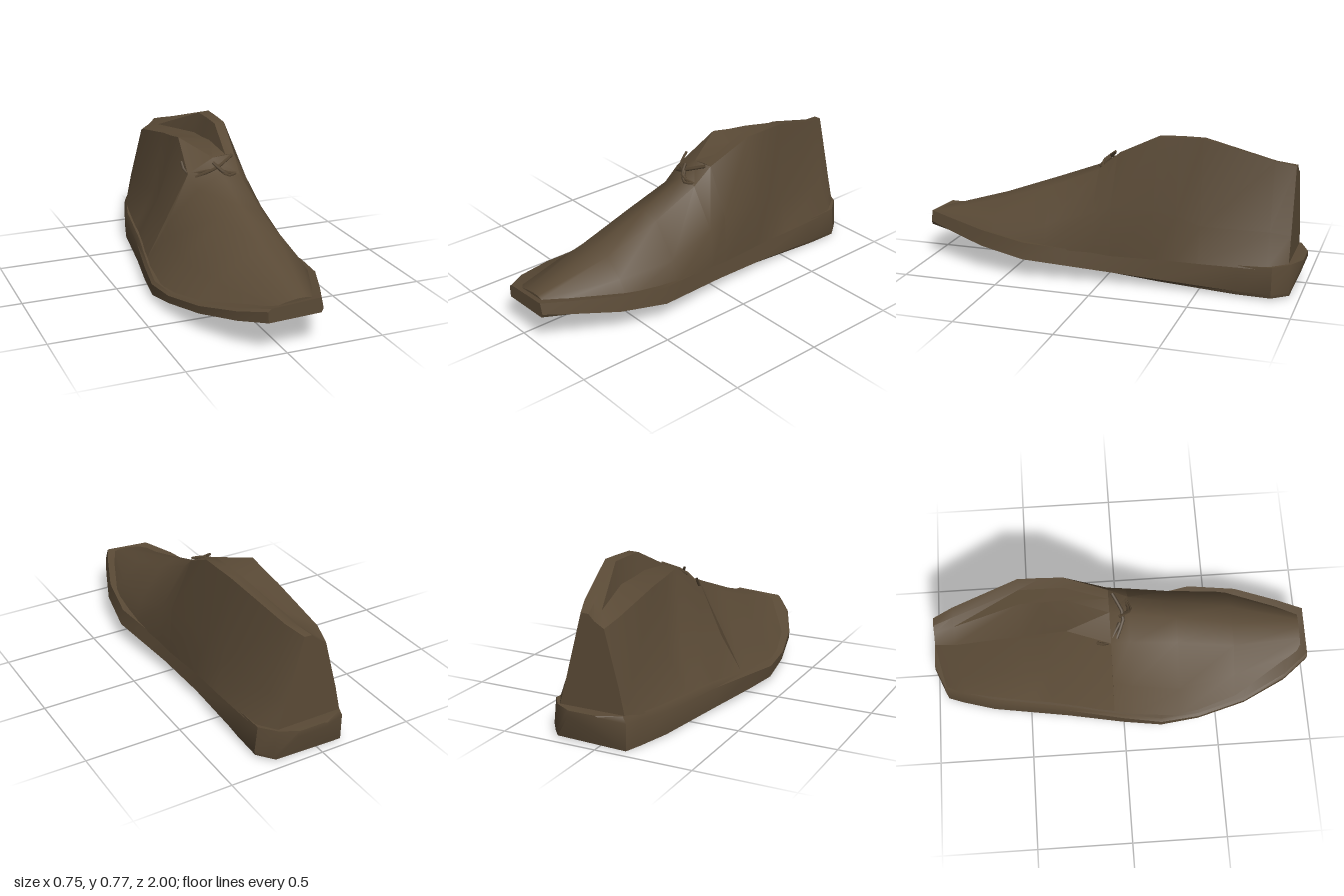
import * as THREE from 'three';
import { toCreasedNormals } from 'three/addons/utils/BufferGeometryUtils.js';

// Skin through closed rings, listed front to back; each ring runs left to right over the top.
function loft(rings, crease) {
  const n = rings[0].length, last = rings.length - 1;
  const index = [];
  for (let i = 0; i < last; i++) {
    for (let j = 0; j < n; j++) {
      const k = (j + 1) % n;
      const a = i * n + j, b = i * n + k, c = a + n, d = b + n;
      index.push(a, b, c, b, d, c);
    }
  }
  for (let j = 1; j < n - 1; j++) {
    index.push(0, j + 1, j);
    index.push(last * n, last * n + j, last * n + j + 1);
  }
  const geometry = new THREE.BufferGeometry();
  geometry.setAttribute('position', new THREE.Float32BufferAttribute(rings.flat(2), 3));
  geometry.setIndex(index);
  return toCreasedNormals(geometry, crease);
}

export function createModel() {
  const boot = new THREE.Group();
  boot.name = 'boot';
  const leather = new THREE.MeshStandardMaterial({ color: 0x5a4a36, side: THREE.DoubleSide });
  leather.name = 'brown leather';
  const add = (name, geometry) => {
    const mesh = new THREE.Mesh(geometry, leather);
    mesh.name = name;
    boot.add(mesh);
  };

  // Sole: z, left x, right x, underside right x, bottom left y, bottom right y, top left y, top right y
  const sole = [
    [1, -0.1, 0.18, 0.17, 0.165, 0.175, 0.235, 0.25],
    [0.87, -0.2, 0.24, 0.2, 0.14, 0.155, 0.2, 0.24],
    [0.65, -0.3, 0.33, 0.23, 0.1, 0.12, 0.15, 0.22],
    [0.4, -0.36, 0.375, 0.25, 0.06, 0.085, 0.11, 0.19],
    [0.2, -0.375, 0.345, 0.25, 0.025, 0.065, 0.1, 0.17],
    [0, -0.345, 0.315, 0.26, 0.02, 0.045, 0.12, 0.16],
    [-0.3, -0.285, 0.295, 0.27, 0.01, 0.025, 0.14, 0.16],
    [-0.7, -0.22, 0.3, 0.29, 0.005, 0.01, 0.15, 0.16],
    [-0.87, -0.17, 0.3, 0.295, 0.002, 0.01, 0.16, 0.165],
    [-0.95, -0.14, 0.24, 0.23, 0, 0.01, 0.17, 0.17],
    [-1, -0.02, 0.15, 0.14, 0.14, 0.14, 0.17, 0.17],
  ];
  add('sole', loft(sole.map(([z, l, r, under, bl, br, tl, tr]) => [
    [l, bl + (tl - bl) * 0.8, z], [l + 0.015, tl, z], [r - 0.015, tr, z],
    [r, br + 0.02, z], [under, br, z], [l + 0.003, bl, z],
  ]), 0.6));

  // Vamp: rises from the toe to the laces
  const at = (z, ...points) => points.map(([x, y]) => [x, y, z]);
  add('vamp', loft([
    at(0.97, [-0.09, 0.2], [-0.06, 0.225], [0, 0.24], [0.06, 0.25], [0.1, 0.25], [0.13, 0.245], [0.16, 0.22]),
    at(0.6, [-0.29, 0.13], [-0.18, 0.22], [-0.05, 0.33], [0.06, 0.363], [0.16, 0.35], [0.26, 0.27], [0.32, 0.18]),
    at(0.3, [-0.35, 0.1], [-0.24, 0.23], [-0.05, 0.43], [0.07, 0.475], [0.17, 0.45], [0.3, 0.28], [0.335, 0.16]),
    at(0.05, [-0.33, 0.12], [-0.22, 0.27], [-0.06, 0.5], [0.07, 0.57], [0.17, 0.56], [0.3, 0.36], [0.32, 0.16]),
    at(-0.05, [-0.31, 0.13], [-0.2, 0.3], [-0.08, 0.56], [0.06, 0.635], [0.18, 0.645], [0.295, 0.4], [0.315, 0.15]),
  ], 0.9));

  // Shaft: high outer wall, sunken top, dented sides and a back that narrows upward
  add('shaft', loft([
    at(-0.05, [-0.31, 0.13], [-0.2, 0.3], [-0.08, 0.56], [0.06, 0.635], [0.13, 0.645], [0.18, 0.645], [0.295, 0.4], [0.315, 0.15]),
    at(-0.27, [-0.27, 0.13], [-0.17, 0.36], [-0.05, 0.7], [0.13, 0.665], [0.16, 0.755], [0.215, 0.757], [0.29, 0.4], [0.3, 0.15]),
    at(-0.38, [-0.25, 0.13], [-0.13, 0.34], [-0.05, 0.68], [0.13, 0.655], [0.16, 0.76], [0.218, 0.762], [0.27, 0.38], [0.295, 0.15]),
    at(-0.5, [-0.23, 0.14], [-0.12, 0.33], [-0.05, 0.665], [0.13, 0.65], [0.16, 0.76], [0.218, 0.766], [0.25, 0.33], [0.295, 0.15]),
    at(-0.84, [-0.17, 0.15], [-0.12, 0.32], [-0.05, 0.6], [0.04, 0.62], [0.08, 0.65], [0.13, 0.66], [0.21, 0.32], [0.285, 0.15]),
    at(-0.94, [-0.13, 0.16], [-0.1, 0.3], [-0.03, 0.57], [0.02, 0.6], [0.05, 0.63], [0.09, 0.632], [0.18, 0.3], [0.22, 0.16]),
  ], 0.6));

  // Tangled laces
  const laces = [
    [[0.17, 0.56, 0.03], [0.08, 0.585, 0.05], [0.04, 0.625, 0]],
    [[-0.05, 0.55, -0.02], [0.05, 0.6, 0.02], [0.16, 0.645, -0.03]],
    [[0.06, 0.6, 0.02], [0.1, 0.565, 0.06], [0.15, 0.565, 0.04]],
    [[-0.09, 0.61, -0.12], [-0.08, 0.56, -0.07], [0.02, 0.585, 0]],
  ];
  for (const points of laces) {
    const curve = new THREE.CatmullRomCurve3(points.map((p) => new THREE.Vector3(...p)));
    add('lace', new THREE.TubeGeometry(curve, 5, 0.009, 4));
  }
  return boot;
}
